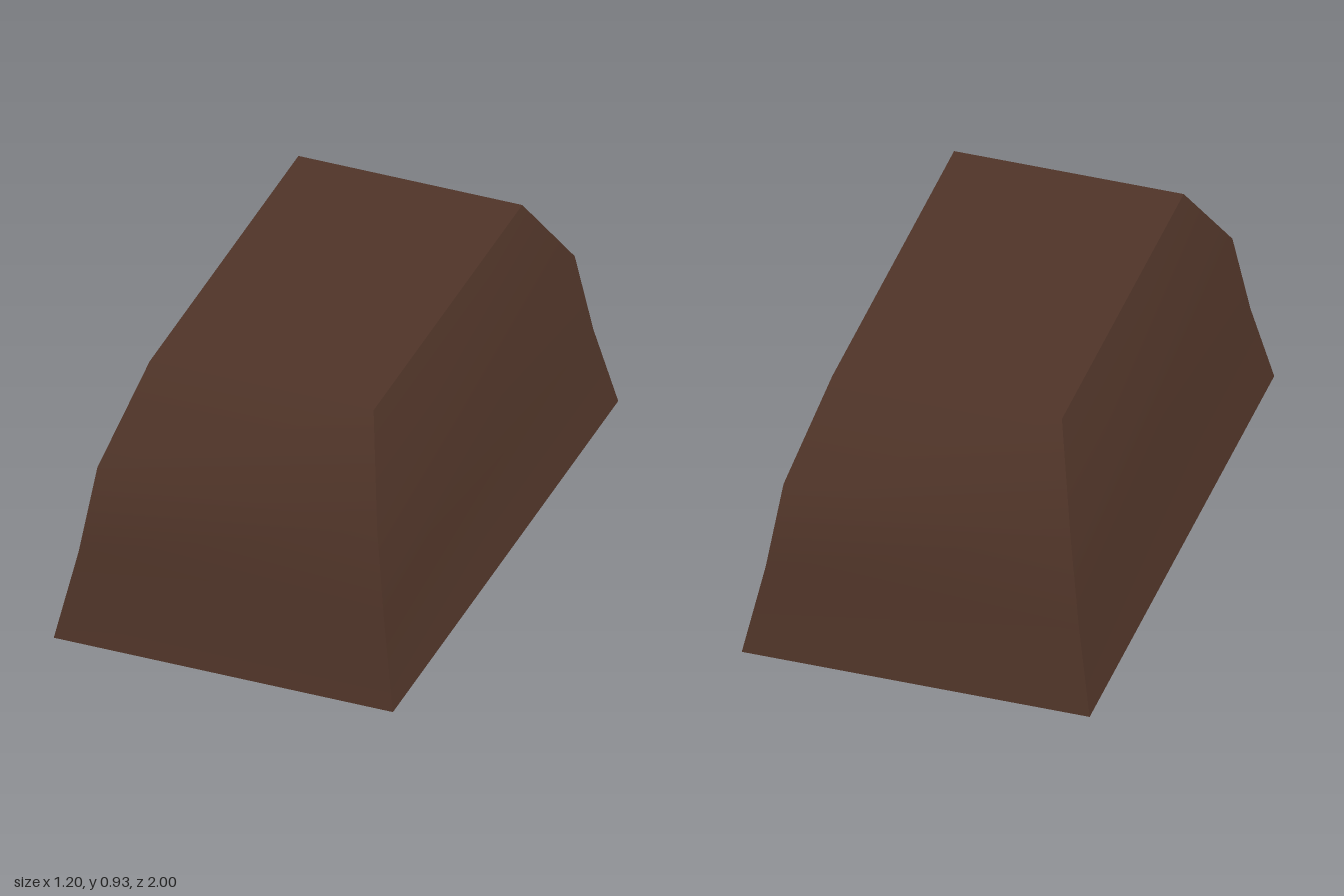
import * as THREE from 'three';

// Half width (x) and half depth (z) at four equally spaced heights, bottom to top
const HEIGHT = 0.93;
const LEVELS = [[0.6, 1], [0.54, 0.93], [0.495, 0.877], [0.396, 0.66]];

export function createModel() {
  const group = new THREE.Group();
  group.name = 'taperedBlock';

  // Box with three rows of sides, each row drawn in to its level
  const rows = LEVELS.length - 1;
  const geometry = new THREE.BoxGeometry(2, HEIGHT, 2, 1, rows, 1);
  geometry.translate(0, HEIGHT / 2, 0);
  const pos = geometry.attributes.position;
  for (let i = 0; i < pos.count; i++) {
    const [halfX, halfZ] = LEVELS[Math.round((pos.getY(i) / HEIGHT) * rows)];
    pos.setX(i, pos.getX(i) * halfX);
    pos.setZ(i, pos.getZ(i) * halfZ);
  }
  // Each side is smooth from bottom to top, with sharp corners between sides
  geometry.computeVertexNormals();

  const body = new THREE.Mesh(geometry, new THREE.MeshStandardMaterial({ color: 0x4f3428 }));
  body.name = 'body';
  group.add(body);
  return group;
}
